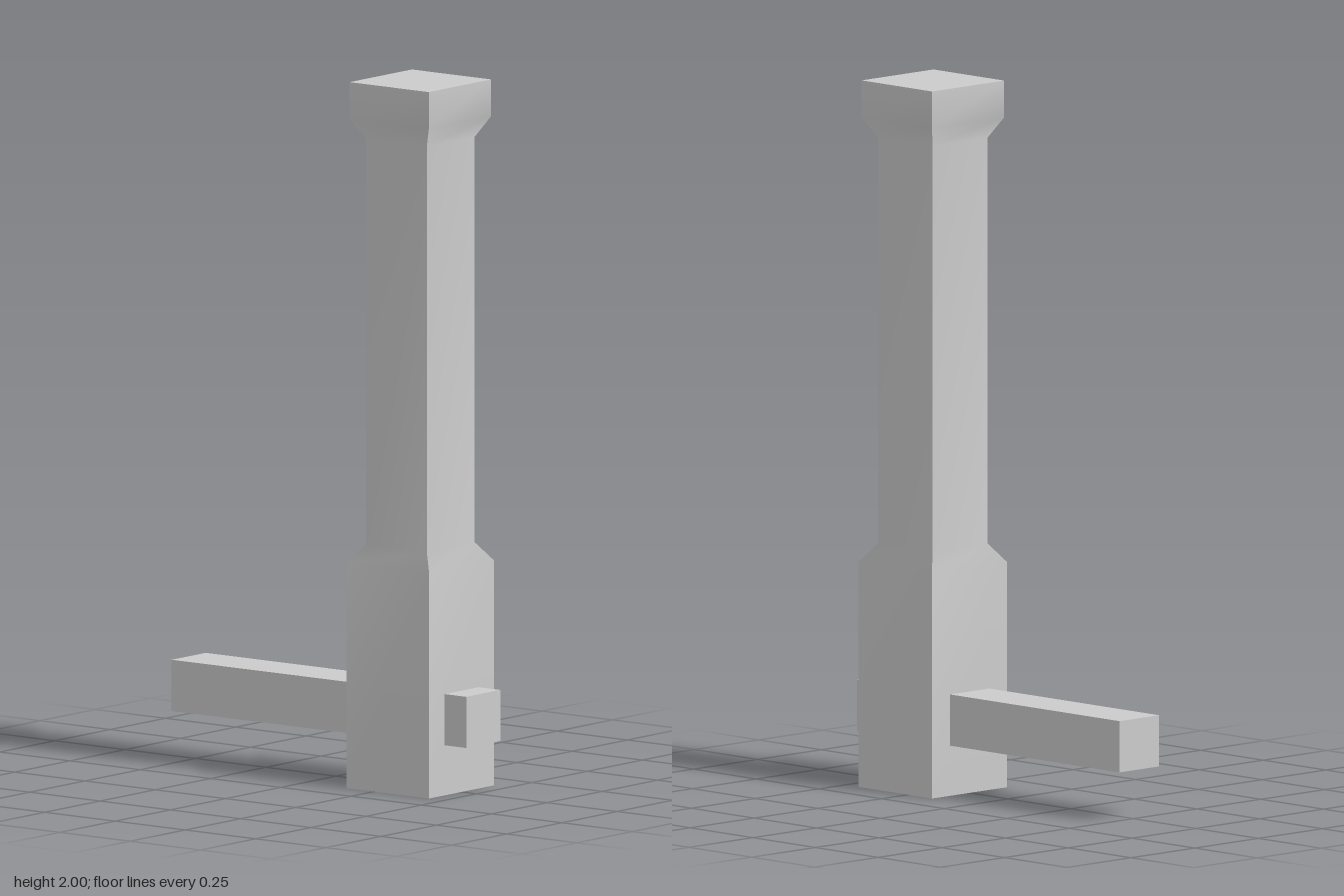
import * as THREE from 'three';
import { mergeGeometries } from 'three/addons/utils/BufferGeometryUtils.js';

// Square post from [halfWidth, y] rows (top to bottom): smooth along each side, sharp at corners
function squarePost(profile) {
  const parts = [];
  for (let side = 0; side < 4; side++) {
    const strip = new THREE.PlaneGeometry(1, 1, 1, profile.length - 1);
    const pos = strip.attributes.position;
    profile.forEach(([half, y], row) => {
      pos.setXYZ(row * 2, -half, y, half);
      pos.setXYZ(row * 2 + 1, half, y, half);
    });
    strip.computeVertexNormals();
    parts.push(strip.rotateY(side * Math.PI / 2));
  }
  // Flat top and bottom
  const [topHalf, topY] = profile[0];
  const [baseHalf, baseY] = profile[profile.length - 1];
  parts.push(new THREE.PlaneGeometry(topHalf * 2, topHalf * 2).rotateX(-Math.PI / 2).translate(0, topY, 0));
  parts.push(new THREE.PlaneGeometry(baseHalf * 2, baseHalf * 2).rotateX(Math.PI / 2).translate(0, baseY, 0));
  return mergeGeometries(parts);
}

export function createModel() {
  const group = new THREE.Group();
  const material = new THREE.MeshStandardMaterial({ color: 0xcccccc });

  // Upright with a flared head and a thicker foot
  const post = new THREE.Mesh(squarePost([
    [0.141, 2], [0.141, 1.896], [0.108, 1.838],
    [0.108, 0.69], [0.147, 0.637], [0.147, 0],
  ]), material);
  post.name = 'post';
  post.position.z = 0.3;
  group.add(post);

  // Horizontal beam running through the foot
  const beam = new THREE.Mesh(new THREE.BoxGeometry(0.154, 0.145, 1.048), material);
  beam.name = 'crossBeam';
  beam.position.set(0, 0.2145, 0);
  group.add(beam);

  return group;
}
